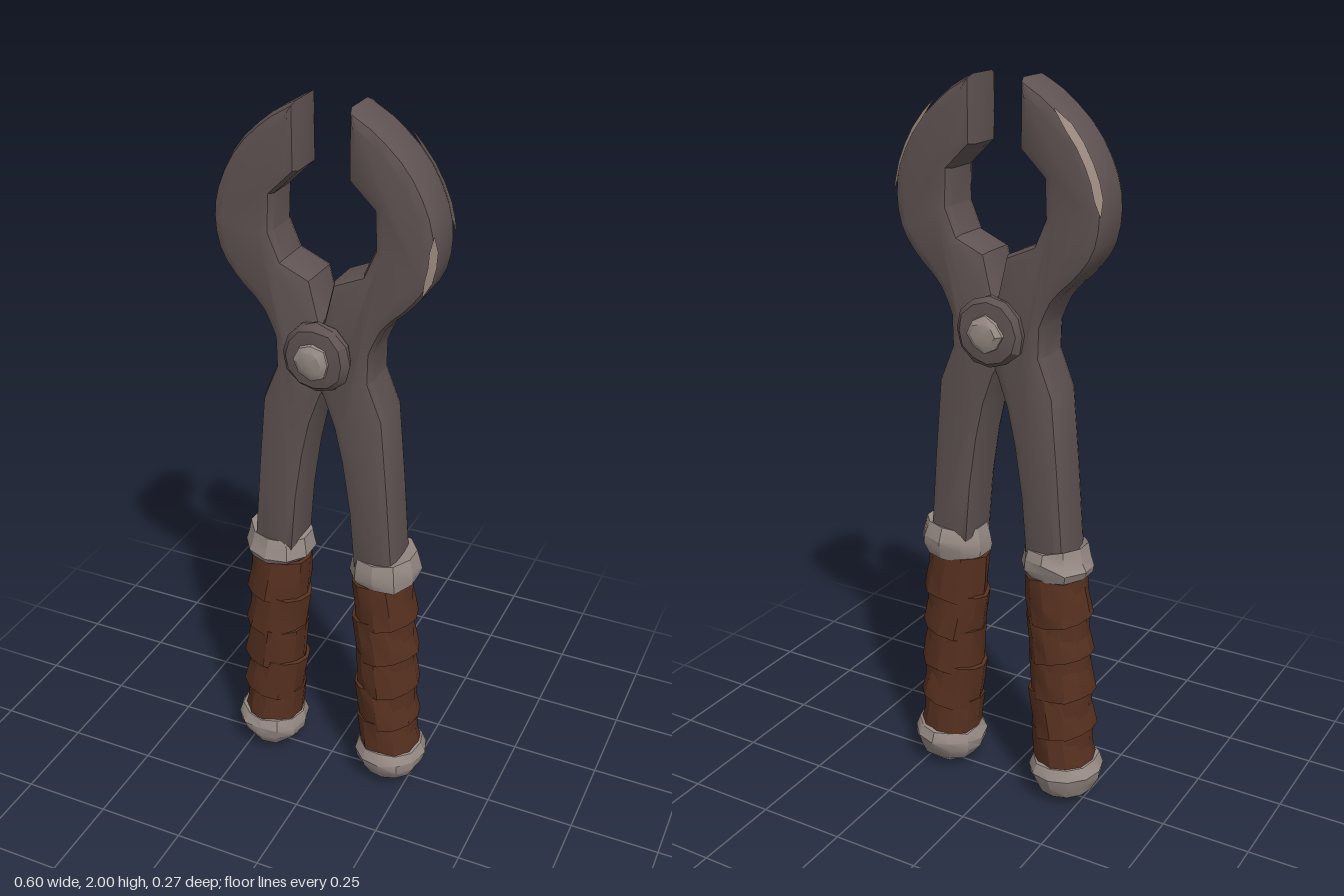
import * as THREE from 'three';
import { toCreasedNormals } from 'three/addons/utils/BufferGeometryUtils.js';

const mat = (name, color, opts = {}) => Object.assign(new THREE.MeshStandardMaterial({ color, ...opts }), { name });

export function createModel() {
  const steel = mat('dark steel', 0x5f5252);
  const leather = mat('brown leather', 0x56301f);
  const iron = mat('pale iron', 0x968a84);
  const wear = mat('worn edge', 0x9c8a80, { side: THREE.DoubleSide });

  const root = new THREE.Group();
  root.name = 'pincers';

  let seed = 7;
  const rnd = () => ((seed = (seed * 16807) % 2147483647) / 2147483647) - 0.5;

  const add = (parent, geo, material, name) => {
    const m = new THREE.Mesh(geo, material);
    m.name = name;
    parent.add(m);
    return m;
  };

  // Hammered look: nudge each ring and column the same way so seams stay closed
  const roughen = (geo, amount, amountY, sides) => {
    const p = geo.attributes.position;
    const table = Array.from({ length: 200 }, () => [rnd(), rnd()]);
    for (let i = 0; i < p.count; i++) {
      const r = Math.hypot(p.getX(i), p.getZ(i));
      if (r < 0.01) continue;
      const col = ((Math.round((Math.atan2(p.getZ(i), p.getX(i)) / (2 * Math.PI)) * sides) % sides) + sides) % sides;
      const row = Math.round((p.getY(i) + 1) * 100);
      const [a, b] = table[(col * 17 + row * 31) % 200];
      const k = 1 + (a * amount) / r;
      p.setXYZ(i, p.getX(i) * k, p.getY(i) + b * amountY, p.getZ(i) * k);
    }
    return toCreasedNormals(geo, 0.5);
  };
  const lathe = (pts, sides) => new THREE.LatheGeometry(pts.map(([x, y]) => new THREE.Vector2(x, y)), sides);

  // Outer edge of one half, from the jaw tip to the waist
  const jawBack = new THREE.SplineCurve([
    [0.07, 2.0], [0.14, 1.96], [0.225, 1.88], [0.28, 1.78], [0.297, 1.69],
    [0.282, 1.6], [0.235, 1.53], [0.17, 1.465], [0.135, 1.39],
  ].map(([x, y]) => new THREE.Vector2(x, y))).getPoints(18);
  const armEdge = [
    [0.133, 1.31], [0.173, 1.21], [0.192, 1.0], [0.212, 0.74],
    [0.088, 0.74], [0.073, 0.92], [0.052, 1.06], [0.03, 1.16], [0, 1.245],
    [-0.03, 1.3], [-0.03, 1.4], [0.003, 1.46],
    [0.028, 1.565], [0.108, 1.6], [0.138, 1.67], [0.134, 1.765], [0.067, 1.83],
  ];
  const bevel = 0.027, halfZ = 0.073;

  for (const side of [1, -1]) {
    const half = new THREE.Group();
    half.name = side > 0 ? 'leftHalf' : 'rightHalf';
    root.add(half);

    // Jaw and arm forged in one piece
    const outline = [...jawBack.map((v) => [v.x, v.y]), ...armEdge];
    const shape = new THREE.Shape(outline.map(([x, y]) => new THREE.Vector2(x * side, y)));
    const depth = 2 * (halfZ - bevel);
    const body = new THREE.ExtrudeGeometry(shape, {
      depth, bevelEnabled: true, bevelSize: bevel, bevelThickness: bevel, bevelOffset: -bevel, bevelSegments: 2,
    });
    body.translate(0, 0, -depth / 2);
    const bodyMesh = add(half, toCreasedNormals(body, 0.55), steel, 'jawAndArm');
    if (side < 0) bodyMesh.scale.z = 0.985;

    // Worn slivers along the bevels of the jaw
    const sliver = (from, to, z) => {
      const pos = [], idx = [];
      for (let i = from; i <= to; i++) {
        const v = jawBack[i];
        const dir = new THREE.Vector2(0.07 - v.x, 1.7 - v.y).normalize();
        const w = i === from || i === to ? 0.02 : 0.3;
        for (const t of [0.5 - w, 0.5 + w]) {
          const bulge = 0.004 + 0.009 * (1 - Math.abs(2 * t - 1));
          const inset = bevel * t - bulge;
          pos.push((v.x + dir.x * inset) * side, v.y + dir.y * inset, z * (halfZ - bevel * (1 - t) + bulge));
        }
        const k = (i - from) * 2;
        if (i < to) idx.push(k, k + 1, k + 2, k + 1, k + 3, k + 2);
      }
      const g = new THREE.BufferGeometry();
      g.setAttribute('position', new THREE.Float32BufferAttribute(pos, 3));
      g.setIndex(idx);
      g.computeVertexNormals();
      add(half, g, wear, 'wornEdge');
    };
    sliver(3, 9, -1);
    if (side > 0) sliver(8, 12, 1);

    // Handle hangs along the slightly splayed arm axis
    const handle = new THREE.Group();
    handle.name = 'handle';
    handle.position.set(0.197 * side, 0, 0);
    handle.rotation.z = 0.05 * side;
    half.add(handle);

    add(handle, lathe([[0.055, 0.1], [0.08, 0.12], [0.078, 0.72], [0.055, 0.73]], 12), leather, 'gripCore');

    // Overlapping leather wraps
    const wraps = 5, step = 0.116;
    for (let i = 0; i < wraps; i++) {
      const y = 0.11 + step * i;
      const g = lathe([[0.07, -0.012], [0.09, -0.008], [0.087, 0.05], [0.081, step + 0.012], [0.07, step + 0.014]], 12);
      const wrap = add(handle, roughen(g, 0.006, 0.008, 12), leather, 'leatherWrap');
      wrap.position.y = y;
      wrap.rotation.set(rnd() * 0.12, 0, (i % 2 ? 0.16 : 0.1) * side);
    }

    // Crimped collar at the top of the grip
    const collar = lathe([[0.07, 0.695], [0.09, 0.698], [0.1, 0.725], [0.094, 0.755], [0.088, 0.782], [0.055, 0.772]], 10);
    add(handle, roughen(collar, 0.014, 0.016, 10), iron, 'collar');

    // Domed pommel
    const pommel = lathe([[0, 0.004], [0.04, 0.006], [0.078, 0.034], [0.1, 0.072], [0.106, 0.1], [0.094, 0.13], [0.07, 0.138]], 12);
    add(handle, roughen(pommel, 0.007, 0.008, 12), iron, 'pommel');
  }

  // Pivot rivet, with a washer and head on both faces
  for (const z of [1, -1]) {
    const rivet = new THREE.Group();
    rivet.name = z > 0 ? 'frontRivet' : 'backRivet';
    rivet.position.set(0, 1.37, z * 0.07);
    rivet.rotation.set((z * Math.PI) / 2, 0, 0.05);
    root.add(rivet);
    const washer = lathe([[0.07, 0.0], [0.092, 0.008], [0.095, 0.024], [0.08, 0.04], [0.045, 0.045], [0, 0.045]], 12);
    add(rivet, roughen(washer, 0.008, 0.005, 12), steel, 'washer');
    const head = lathe([[0.05, 0.036], [0.048, 0.053], [0.032, 0.063], [0, 0.065]], 8);
    add(rivet, roughen(head, 0.008, 0.003, 8), iron, 'rivetHead');
  }

  return root;
}
